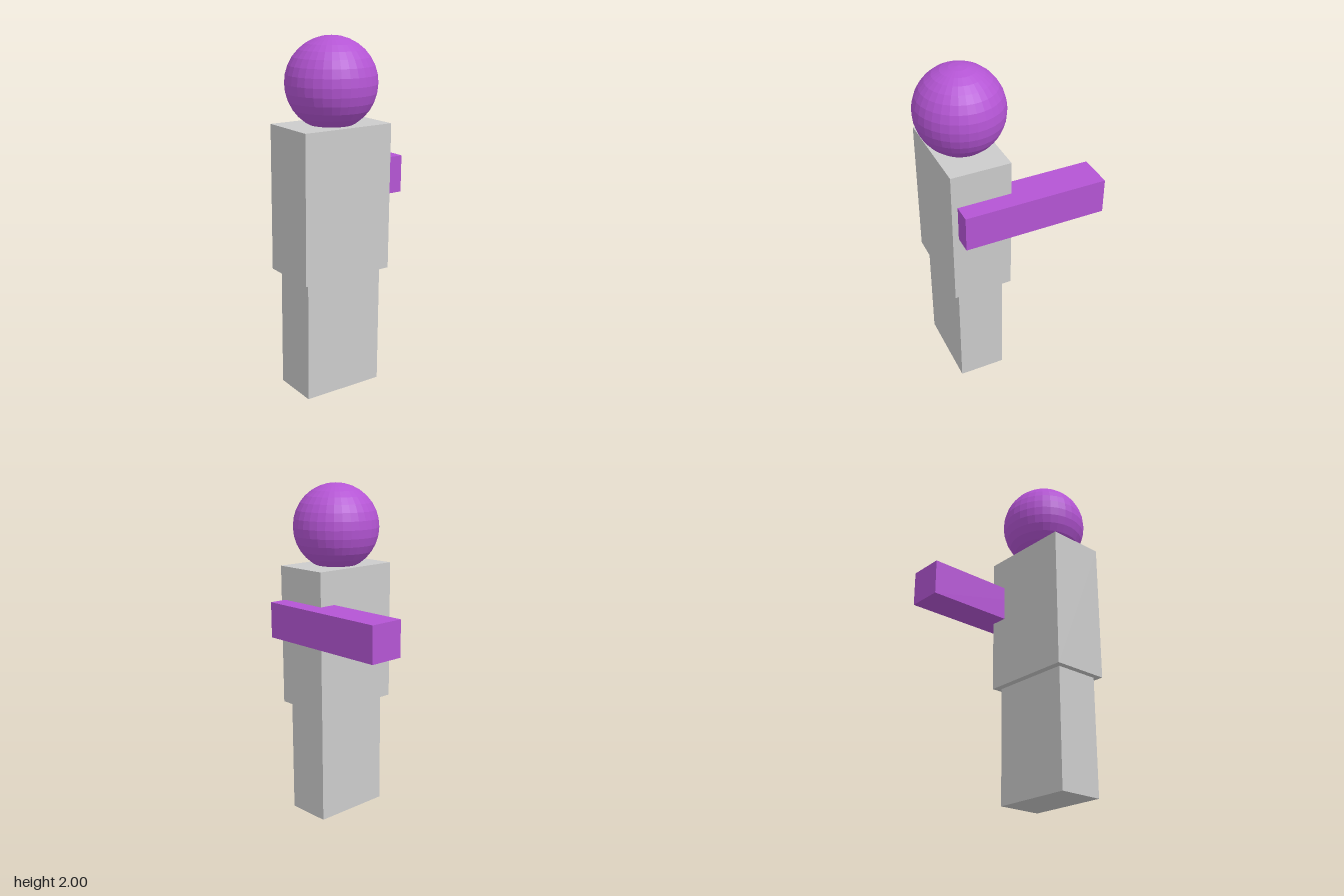
import * as THREE from 'three';

export function createModel() {
  const model = new THREE.Group();
  const grey = new THREE.MeshStandardMaterial({ color: 0xcccccc, flatShading: true });
  const purple = new THREE.MeshStandardMaterial({ color: 0xb455d4, flatShading: true });

  const add = (name, geometry, material, x, y, z) => {
    const mesh = new THREE.Mesh(geometry, material);
    mesh.name = name;
    mesh.position.set(x, y, z);
    model.add(mesh);
  };

  // Body: one block for the legs, a wider one for the torso
  add('legs', new THREE.BoxGeometry(0.485, 0.695, 0.275), grey, -0.055, 0.3475, 0.222);
  add('torso', new THREE.BoxGeometry(0.556, 0.832, 0.348), grey, -0.055, 1.111, 0.219);

  // Head, sunk slightly into the torso
  add('head', new THREE.SphereGeometry(0.253, 32, 16), purple, -0.055, 1.747, 0.219);

  // Single arm on the left side, reaching backwards
  add('arm', new THREE.BoxGeometry(0.209, 0.209, 0.833), purple, 0.226, 1.225, -0.058);

  return model;
}
